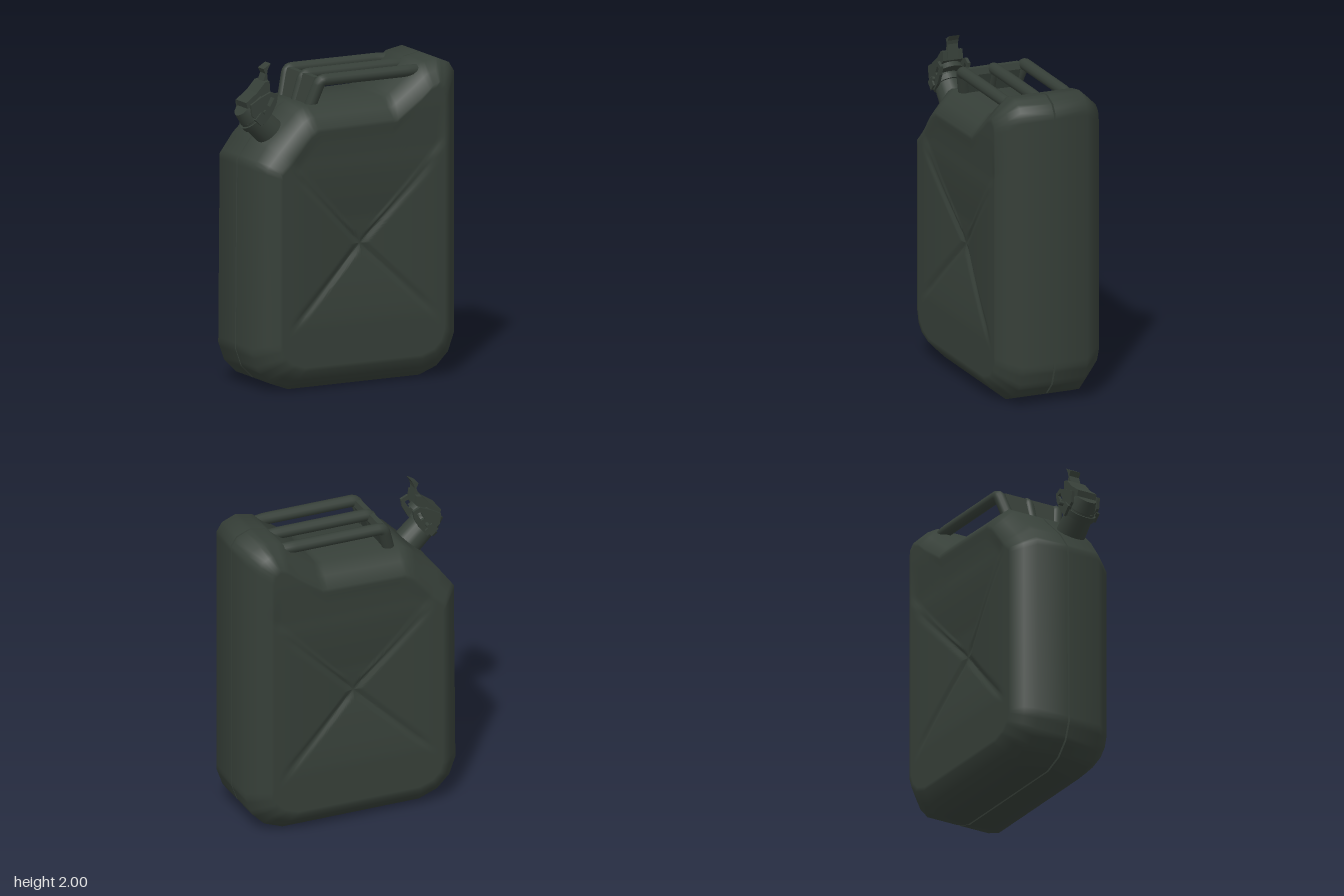
import * as THREE from 'three';
import { toCreasedNormals } from 'three/addons/utils/BufferGeometryUtils.js';

// side outline (outer x, y) and the matching edge of the pressed panel (inner x, y)
const OUTLINE = [
  [-0.42, 0.005, -0.38, 0.13], [0.48, 0.005, 0.44, 0.13], [0.6, 0.05, 0.53, 0.16],
  [0.68, 0.13, 0.58, 0.21], [0.72, 0.24, 0.605, 0.28], [0.72, 1.85, 0.605, 1.74],
  [0.685, 1.905, 0.595, 1.79], [0.6, 1.94, 0.56, 1.82], [0.49, 1.92, 0.51, 1.8],
  [0.41, 1.86, 0.44, 1.74], [0.25, 1.74, 0.27, 1.62], [-0.32, 1.73, -0.28, 1.61],
  [-0.37, 1.7, -0.33, 1.58], [-0.43, 1.64, -0.36, 1.55], [-0.56, 1.52, -0.46, 1.43],
  [-0.65, 1.4, -0.54, 1.36], [-0.66, 0.24, -0.54, 0.28], [-0.62, 0.13, -0.52, 0.21],
  [-0.54, 0.05, -0.47, 0.16],
];
const CENTRE = [0.04, 0.87];
const FACE_Z = 0.342;
const clamp01 = (v) => Math.min(1, Math.max(0, v));

function subdividedOutline() {
  const points = [];
  OUTLINE.forEach((a, i) => {
    const b = OUTLINE[(i + 1) % OUTLINE.length];
    const n = Math.ceil(Math.hypot(b[0] - a[0], b[1] - a[1]) / 0.035);
    for (let k = 0; k < n; k++) points.push(a.map((v, c) => v + (b[c] - v) * k / n));
  });
  return points;
}

// depth of the X pressing: a hollow of four swelling panels that meet in creased valleys
function pressDepth(x, y) {
  const across = Math.abs(x - CENTRE[0]) / 0.49;
  const rise = y - CENTRE[1];
  const up = Math.abs(rise) / (rise > 0 ? 0.5 : 0.47);
  const m = Math.max(across, up, 0.09);
  const hollow = 0.062 * Math.pow(Math.max(0, 1 - m), 1.4);
  const crease = 0.012 * clamp01(1 - Math.abs(across - up) / 0.1) * clamp01((1.05 - m) * 5);
  const upperStep = rise > 0 ? 0.014 * Math.min(clamp01((up - across) / 0.1), clamp01((1.68 - y) / 0.25)) : 0;
  return hollow + Math.max(crease, upperStep * clamp01(m * 3));
}

// one half of the can, from the seam to the middle of the pressed panel
function bodyHalf(side) {
  const outline = subdividedOutline(), n = outline.length, RINGS = 32;
  const pos = [], idx = [];
  const rim = [[-1, 0], [-1, 0.002], [0, 0.006], [0, 0.215], [0.5, 0.28], [1, FACE_Z]];
  for (const [f, z] of rim) {
    for (const [ox, oy, ix, iy] of outline) {
      const flatTop = oy > 1.71 && ox > -0.33 && ox < 0.5;
      const k = f < 0 ? (flatTop ? 0 : 0.12) : f;
      pos.push(ox + (ix - ox) * k, oy + (iy - oy) * k, z * side);
    }
  }
  for (let r = 1; r <= RINGS; r++) {
    const t = Math.max(1 - r / RINGS, 0.0005);
    for (const [, , ix, iy] of outline) {
      const x = CENTRE[0] + (ix - CENTRE[0]) * t, y = CENTRE[1] + (iy - CENTRE[1]) * t;
      pos.push(x, y, (FACE_Z - pressDepth(x, y) * clamp01((1 - t) * 10)) * side);
    }
  }
  const rows = rim.length + RINGS;
  for (let j = 0; j < rows - 1; j++) {
    for (let i = 0; i < n; i++) {
      const a = j * n + i, b = j * n + (i + 1) % n, c = b + n, d = a + n;
      if (side > 0) idx.push(a, b, c, a, c, d);
      else idx.push(a, c, b, a, d, c);
    }
  }
  const g = new THREE.BufferGeometry();
  g.setAttribute('position', new THREE.Float32BufferAttribute(pos, 3));
  g.setIndex(idx);
  return toCreasedNormals(g, 1.1);
}

// bent bar through a few points, with short rounded bends
function barGeometry(points, radius) {
  const p = points.map((q) => new THREE.Vector3(...q));
  const path = new THREE.CurvePath();
  let from = p[0];
  for (let i = 1; i < p.length - 1; i++) {
    const a = p[i].clone().lerp(p[i - 1], 0.03 / p[i].distanceTo(p[i - 1]));
    const b = p[i].clone().lerp(p[i + 1], 0.03 / p[i].distanceTo(p[i + 1]));
    path.add(new THREE.LineCurve3(from, a));
    path.add(new THREE.QuadraticBezierCurve3(a, p[i], b));
    from = b;
  }
  path.add(new THREE.LineCurve3(from, p[p.length - 1]));
  return new THREE.TubeGeometry(path, 60, radius, 12);
}

// flat part cut from a side profile, with an optional hole
function plate(points, depth, z, hole) {
  const toVectors = (list) => list.map(([x, y]) => new THREE.Vector2(x, y));
  const shape = new THREE.Shape(toVectors(points));
  if (hole) shape.holes.push(new THREE.Path(toVectors(hole)));
  const g = new THREE.ExtrudeGeometry(shape, { depth, bevelEnabled: false });
  return g.translate(0, 0, z - depth / 2);
}

export function createModel() {
  const model = new THREE.Group();
  model.name = 'fuelCan';
  const green = new THREE.MeshStandardMaterial({ color: 0x363f38 });
  green.name = 'dark olive green';
  const add = (parent, name, geometry, x = 0, y = 0, z = 0) => {
    const mesh = new THREE.Mesh(geometry, green);
    mesh.name = name;
    mesh.position.set(x, y, z);
    parent.add(mesh);
    return mesh;
  };

  // pressed steel shells
  add(model, 'frontShell', bodyHalf(1));
  add(model, 'backShell', bodyHalf(-1));

  // three carrying bars joined by a sloping web at the spout end
  const handle = new THREE.Group();
  handle.name = 'handle';
  model.add(handle);
  for (const z of [-0.203, 0, 0.203]) {
    add(handle, 'handleBar', barGeometry(
      [[0.5, 1.87, z * 0.95], [0.42, 1.876, z], [-0.19, 1.876, z], [-0.245, 1.7, z * 0.8]], 0.037));
  }
  add(handle, 'handleWeb', plate(
    [[-0.272, 1.7], [-0.215, 1.7], [-0.165, 1.85], [-0.175, 1.89], [-0.21, 1.89]], 0.34, 0));

  // slanted neck
  const neck = new THREE.Group();
  neck.name = 'spout';
  neck.position.set(-0.465, 1.55, 0.115);
  neck.rotation.z = 0.82;
  model.add(neck);
  add(neck, 'neck', new THREE.CylinderGeometry(0.085, 0.095, 0.3, 20), 0, 0.06, 0);
  add(neck, 'neckCollar', new THREE.CylinderGeometry(0.098, 0.098, 0.035, 20), 0, 0.18, 0);
  add(neck, 'mouth', new THREE.CylinderGeometry(0.065, 0.088, 0.09, 20), 0, 0.24, 0);
  for (const s of [-1, 1]) {
    add(neck, 'latchLug', new THREE.BoxGeometry(0.06, 0.06, 0.025), 0, 0.19, s * 0.098);
  }

  // hinged lid with its side brackets and locking lever
  const closure = new THREE.Group();
  closure.name = 'closure';
  model.add(closure);
  const lid = add(closure, 'lid', new THREE.CylinderGeometry(0.07, 0.088, 0.06, 16), -0.59, 1.775, 0.115);
  lid.rotation.z = 0.7;
  const pin = add(closure, 'hingePin', new THREE.CylinderGeometry(0.013, 0.013, 0.25, 10), -0.575, 1.72, 0.105);
  pin.rotation.x = Math.PI / 2;
  for (const s of [-1, 1]) {
    add(closure, 'lidBracket', plate(
      [[-0.66, 1.7], [-0.58, 1.64], [-0.53, 1.7], [-0.495, 1.765], [-0.485, 1.82],
        [-0.53, 1.84], [-0.6, 1.81], [-0.67, 1.77]], 0.018, 0.115 + s * 0.09,
      [[-0.56, 1.76], [-0.54, 1.75], [-0.51, 1.8], [-0.535, 1.81]]));
  }
  add(closure, 'leverBase', plate(
    [[-0.67, 1.73], [-0.6, 1.77], [-0.52, 1.84], [-0.525, 1.9], [-0.555, 1.895],
      [-0.61, 1.835], [-0.685, 1.78]], 0.13, 0.115));
  add(closure, 'leverTongue', plate(
    [[-0.56, 1.87], [-0.515, 1.85], [-0.525, 1.94], [-0.52, 1.965], [-0.5, 2.0],
      [-0.55, 1.97], [-0.535, 1.94]], 0.07, 0.115));
  return model;
}
